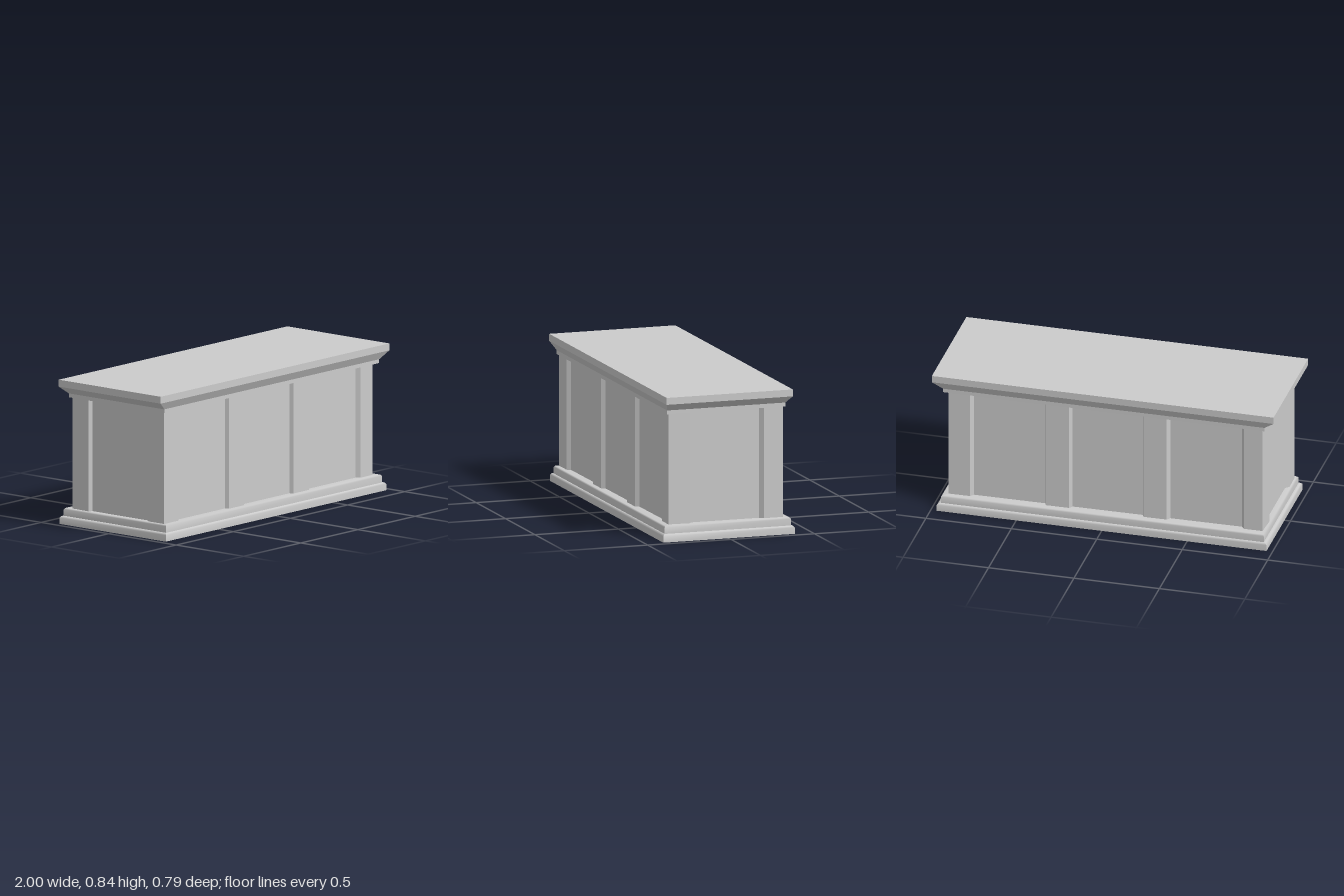
import * as THREE from 'three';

const material = new THREE.MeshStandardMaterial({ color: 0xcccccc, side: THREE.DoubleSide });

// Skin a stack of closed rings (bottom to top); every side keeps its own vertices, so vertical edges stay sharp
function skin(name, rings, smooth = false) {
  const pos = [], index = [];
  const n = rings[0].length;
  for (let i = 0; i < n; i++) {
    const start = pos.length / 3;
    for (const ring of rings) pos.push(...ring[i], ...ring[(i + 1) % n]);
    for (let r = 0; r < rings.length - 1; r++) {
      const a = start + r * 2;
      index.push(a, a + 1, a + 3, a, a + 3, a + 2);
    }
  }
  let geo = new THREE.BufferGeometry();
  geo.setAttribute('position', new THREE.Float32BufferAttribute(pos, 3));
  geo.setIndex(index);
  if (!smooth) geo = geo.toNonIndexed();
  geo.computeVertexNormals();
  const mesh = new THREE.Mesh(geo, material);
  mesh.name = name;
  return mesh;
}

// Rectangular rings from a profile of [half width, half depth, height]
const rectRings = (profile, cz = 0) => profile.map(([x, z, y]) =>
  [[-x, y, cz + z], [x, y, cz + z], [x, y, cz - z], [-x, y, cz - z]]);

export function createModel() {
  const group = new THREE.Group();

  // Stepped plinth with softly rounded upper edges, open underneath
  const lower = [[0.965, 0.394, 0], [0.965, 0.394, 0.036], [0.957, 0.387, 0.045], [0.945, 0.379, 0.046]];
  const upper = [[0.945, 0.379, 0.046], [0.945, 0.379, 0.083], [0.938, 0.372, 0.091], [0.87, 0.3, 0.091]];
  group.add(skin('lowerPlinth', rectRings(lower), true));
  group.add(skin('upperPlinth', rectRings(upper), true));

  // Panelled walls: front and right side outline, repeated by a half turn for back and left
  const half = [
    [-0.93, 0.352], [-0.803, 0.351], [-0.787, 0.329], [-0.37, 0.327],
    [-0.36, 0.349], [-0.225, 0.348], [-0.21, 0.326], [0.2, 0.324],
    [0.21, 0.346], [0.345, 0.345], [0.36, 0.323], [0.78, 0.32],
    [0.797, 0.343], [0.905, 0.342],
    [0.912, 0.215], [0.89, 0.205], [0.89, -0.205], [0.911, -0.227],
  ];
  const outline = [...half, ...half.map(([x, z]) => [-0.02 - x, 0.01 - z])];
  group.add(skin('panelledWalls', [0.091, 0.733].map(y => outline.map(([x, z]) => [x, y, z]))));

  // Cornice: soffit, narrow band, sloping flare and slab edge
  const cz = 0.008;
  const cornice = [
    [0.87, 0.3, 0.733], [0.94, 0.354, 0.733], [0.94, 0.354, 0.755],
    [1, 0.378, 0.8], [1, 0.378, 0.84],
  ];
  group.add(skin('cornice', rectRings(cornice, cz)));

  // Flat top
  const top = new THREE.Mesh(new THREE.PlaneGeometry(2, 0.756).rotateX(-Math.PI / 2), material);
  top.position.set(0, 0.84, cz);
  top.name = 'top';
  group.add(top);

  return group;
}
